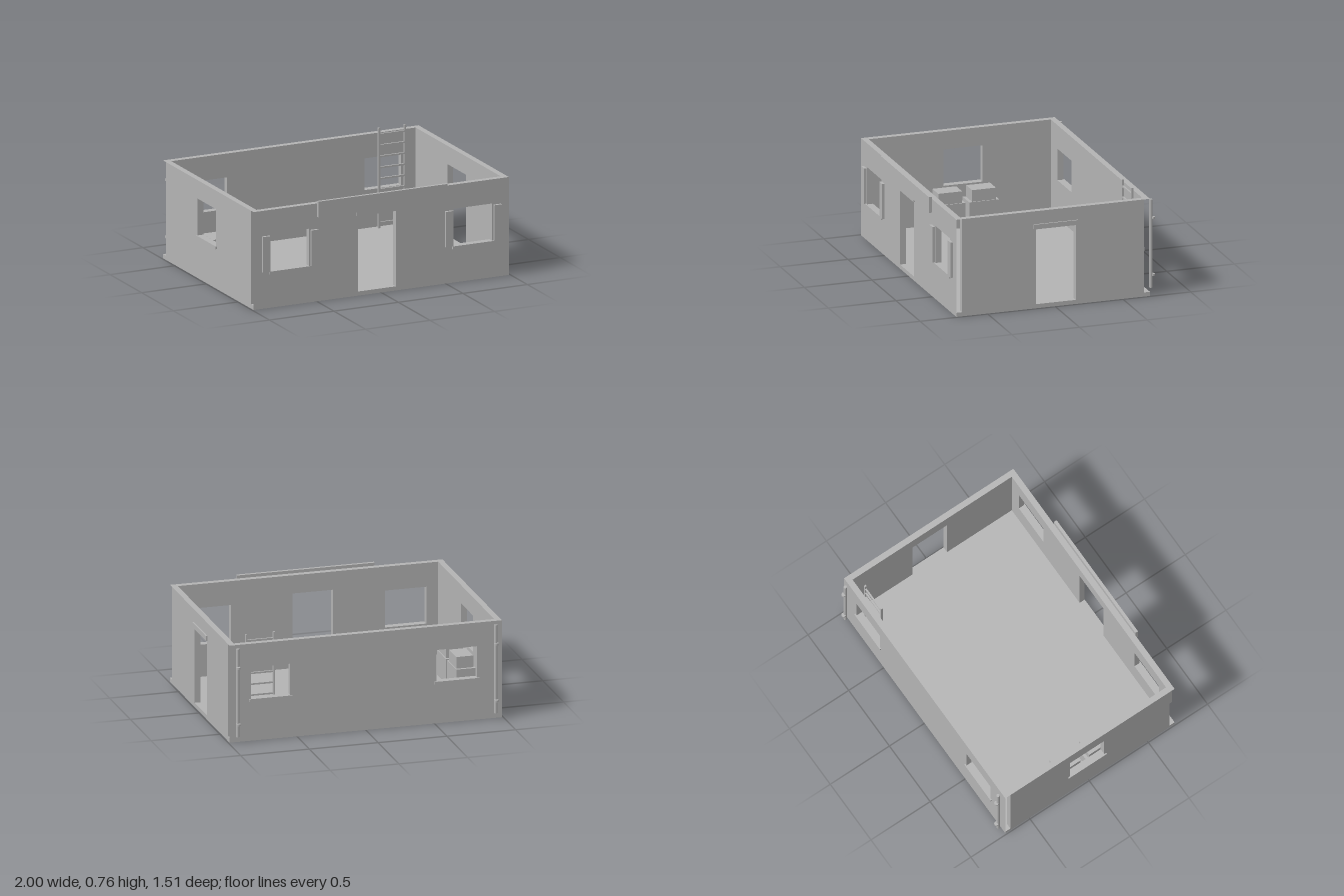
import * as THREE from 'three';

const plaster = new THREE.MeshStandardMaterial({ color: 0xb4b4b4 });
plaster.name = 'grey plaster';

const HALF_X = 0.99, FRONT = 0.729, BACK = -0.702, THICK = 0.043;
const FLOOR = 0.03, TOP = 0.71;

function add(parent, name, geometry) {
  const mesh = new THREE.Mesh(geometry, plaster);
  mesh.name = name;
  parent.add(mesh);
  return mesh;
}

// Box given by its lower and upper limits on each axis
function block(parent, name, x0, x1, y0, y1, z0, z1) {
  const mesh = add(parent, name, new THREE.BoxGeometry(x1 - x0, y1 - y0, z1 - z0));
  mesh.position.set((x0 + x1) / 2, (y0 + y1) / 2, (z0 + z1) / 2);
  return mesh;
}

// Wall panel with an optional doorway [u0, u1, top] and windows [u0, u1, v0, v1]
function wallGeometry(u0, u1, door, windows) {
  const pts = [[u0, FLOOR]];
  if (door) pts.push([door[0], FLOOR], [door[0], door[2]], [door[1], door[2]], [door[1], FLOOR]);
  pts.push([u1, FLOOR], [u1, TOP], [u0, TOP]);
  const shape = new THREE.Shape(pts.map(p => new THREE.Vector2(...p)));
  for (const [a, b, c, d] of windows) {
    shape.holes.push(new THREE.Path([[a, c], [a, d], [b, d], [b, c]].map(p => new THREE.Vector2(...p))));
  }
  return new THREE.ExtrudeGeometry(shape, { depth: THICK, bevelEnabled: false });
}

// Leaves the two narrow ends of a long wall open
function openEnds(geometry) {
  const p = geometry.attributes.position;
  const kept = [];
  for (let i = 0; i < p.count; i += 3) {
    const atEnd = [0, 1, 2].every(k => Math.abs(p.getX(i + k)) > HALF_X - 0.001)
      && Math.sign(p.getX(i)) === Math.sign(p.getX(i + 1))
      && Math.sign(p.getX(i)) === Math.sign(p.getX(i + 2));
    if (!atEnd) kept.push(i, i + 1, i + 2);
  }
  geometry.clearGroups();
  geometry.setIndex(kept);
  return geometry;
}

export function createModel() {
  const house = new THREE.Group();
  house.name = 'roofless house';

  block(house, 'floor', -HALF_X, HALF_X, 0, FLOOR, BACK, FRONT);

  // Front and back walls
  const front = add(house, 'frontWall', openEnds(wallGeometry(-HALF_X, HALF_X, [-0.18, 0.114, 0.577],
    [[-0.86, -0.56, 0.265, 0.535], [0.56, 0.86, 0.265, 0.535]])));
  front.position.z = FRONT - THICK;
  const back = add(house, 'backWall', openEnds(wallGeometry(-HALF_X, HALF_X, null,
    [[-0.81, -0.515, 0.307, 0.537], [0.55, 0.835, 0.307, 0.537]])));
  back.position.z = BACK;

  // Side walls, drawn along -z and turned upright between the long walls
  const near = -(FRONT - THICK), far = -(BACK + THICK);
  const left = add(house, 'doorSideWall', wallGeometry(near, far, [-0.139, 0.154, 0.577], []));
  left.rotation.y = Math.PI / 2;
  left.position.x = HALF_X - THICK;
  const right = add(house, 'windowSideWall', wallGeometry(near, far, null, [[-0.134, 0.154, 0.31, 0.576]]));
  right.rotation.y = Math.PI / 2;
  right.position.x = -HALF_X;

  // Lintels and sills
  block(house, 'frontLintel', -0.197, 0.13, 0.58, 0.615, FRONT, FRONT + 0.01);
  block(house, 'sideLintel', HALF_X, 1, 0.58, 0.615, -0.17, 0.157);
  block(house, 'sideSill', -1, -HALF_X, 0.29, 0.31, -0.17, 0.15);
  block(house, 'backSill', -0.825, -0.5, 0.287, 0.307, BACK - 0.01, BACK);
  block(house, 'backSill', 0.535, 0.85, 0.287, 0.307, BACK - 0.01, BACK);
  for (const x of [-0.71, 0.71]) {
    block(house, 'frontSill', x - 0.16, x + 0.16, 0.245, 0.265, FRONT, FRONT + 0.01);
    // Shutters beside each front window
    for (const s of [-1, 1]) {
      const c = x + s * 0.188;
      block(house, 'shutter', c - 0.029, c + 0.029, 0.268, 0.526, 0.731, 0.75);
    }
  }

  block(house, 'signBoard', -0.5, 0.5, 0.615, 0.73, 0.735, 0.757);

  // Drainpipes at the back corners
  for (const x of [-0.938, 0.938]) {
    const pipe = add(house, 'drainpipe', new THREE.CylinderGeometry(0.0115, 0.0115, 0.645, 12));
    pipe.position.set(x, 0.367, -0.727);
    for (const y of [0.138, 0.553]) {
      const clamp = add(house, 'pipeClamp', new THREE.CylinderGeometry(0.016, 0.016, 0.014, 12));
      clamp.position.set(x, y, -0.741);
    }
  }

  // Ladder against the back wall
  const ladder = new THREE.Group();
  ladder.name = 'ladder';
  house.add(ladder);
  for (const x of [0.645, 0.845]) block(ladder, 'ladderRail', x - 0.006, x + 0.006, FLOOR, 0.756, -0.63, -0.614);
  for (let i = 0; i < 9; i++) {
    const y = 0.068 + i * 0.08;
    block(ladder, 'ladderRung', 0.645, 0.845, y - 0.006, y + 0.006, -0.628, -0.616);
  }

  // Two cabinets under the side window
  for (const z of [-0.115, 0.135]) {
    block(house, 'cabinetBase', -0.943, -0.803, 0.035, 0.217, z - 0.11, z + 0.11);
    block(house, 'cabinetTop', -0.933, -0.81, 0.217, 0.302, z - 0.089, z + 0.087);
  }

  return house;
}
